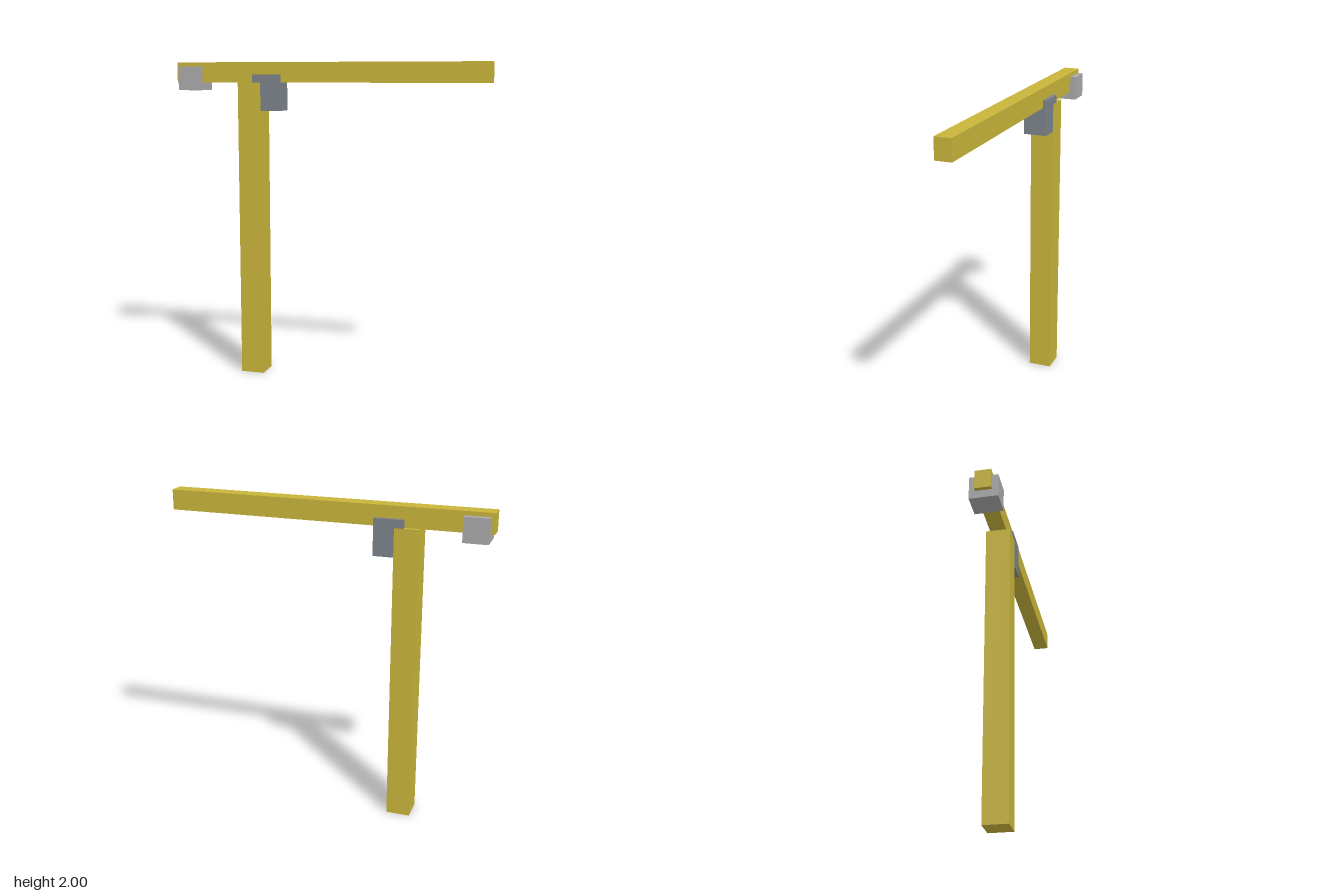
import * as THREE from 'three';

const material = (name, color) => {
  const m = new THREE.MeshStandardMaterial({ color });
  m.name = name;
  return m;
};

export function createModel() {
  const yellow = material('craneYellow', 0xc9b53a);
  const slate = material('cabGrey', 0x7c838b);
  const grey = material('weightGrey', 0xaaaaaa);
  const crane = new THREE.Group();
  crane.name = 'towerCrane';

  // Box given by its x range, y range and depth, centred on z = 0
  const block = (name, [x0, x1], [y0, y1], depth, mat) => {
    const mesh = new THREE.Mesh(new THREE.BoxGeometry(x1 - x0, y1 - y0, depth), mat);
    mesh.name = name;
    mesh.position.set((x0 + x1) / 2, (y0 + y1) / 2, 0);
    crane.add(mesh);
  };

  block('mast', [-0.575, -0.425], [0, 1.875], 0.15, yellow);
  block('jib', [-1, 1], [1.875, 2], 0.1, yellow);
  // Cab is a hair narrower than the mast so their faces do not flicker
  block('cab', [-0.48, -0.3], [1.7, 1.925], 0.149, slate);
  block('counterweight', [-0.975, -0.825], [1.825, 1.975], 0.175, grey);

  return crane;
}
